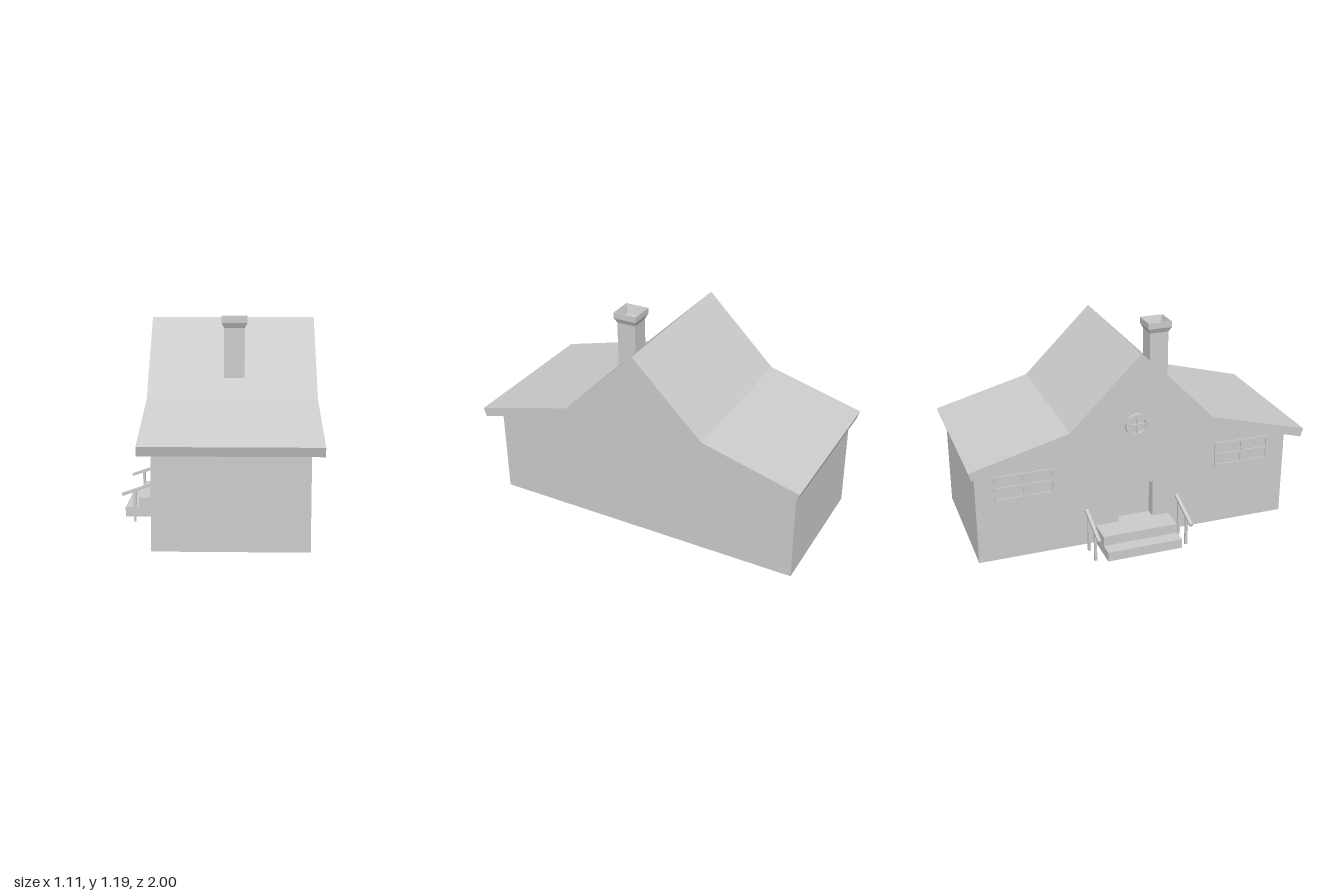
import * as THREE from 'three';

const material = new THREE.MeshStandardMaterial({ color: 0xcccccc, flatShading: true });
const WALL_X = -0.325; // entrance wall plane
const MID_Z = -0.025;  // ridge line

const toShape = (pts) => new THREE.Shape(pts.map(([z, y]) => new THREE.Vector2(z, y)));

export function createModel() {
  const model = new THREE.Group();

  const add = (name, geometry, parent = model) => {
    const mesh = new THREE.Mesh(geometry, material);
    mesh.name = name;
    parent.add(mesh);
    return mesh;
  };
  // Extrudes a (z, y) outline along x from x0 to x1
  const slab = (name, shape, x0, x1, parent) => {
    const g = new THREE.ExtrudeGeometry(shape, { depth: x1 - x0, bevelEnabled: false, curveSegments: 12 });
    g.rotateY(-Math.PI / 2).translate(x1, 0, 0);
    return add(name, g, parent);
  };
  // Box given by its limits
  const box = (name, x0, x1, y0, y1, z0, z1, parent) => {
    const g = new THREE.BoxGeometry(x1 - x0, y1 - y0, z1 - z0);
    g.translate((x0 + x1) / 2, (y0 + y1) / 2, (z0 + z1) / 2);
    return add(name, g, parent);
  };

  // Walls: solid body plus an outer layer with the door recess
  const wallOutline = [
    [0.91, 0.02], [0.91, 0.56], [0.405, 0.7], [-0.025, 1.12],
    [-0.405, 0.73], [-0.96, 0.585], [-0.96, 0.02],
  ];
  slab('houseBody', toShape(wallOutline), -0.265, 0.49);
  const entrance = toShape(wallOutline);
  entrance.holes.push(new THREE.Path([[-0.135, 0.13], [0.075, 0.13], [0.075, 0.355], [-0.135, 0.355]]
    .map(([z, y]) => new THREE.Vector2(z, y))));
  slab('entranceWall', entrance, WALL_X, -0.265);

  // Roof: steep gable with shallow skirts
  slab('roof', toShape([
    [1, 0.58], [0.41, 0.74], [-0.025, 1.17], [-0.435, 0.765], [-1, 0.615],
    [-0.985, 0.567], [-0.4, 0.72], [-0.025, 1.105], [0.4, 0.69], [0.985, 0.53],
  ]), -0.39, 0.553);

  // Chimney: square profile with a flared, hollow cap
  const chimney = new THREE.LatheGeometry([
    [0.0575, 0.75], [0.0575, 1.125], [0.0725, 1.155], [0.0725, 1.19], [0.068, 1.19], [0.052, 1.14], [0, 1.14],
  ].map(([r, y]) => new THREE.Vector2(r * Math.SQRT2, y)), 4, Math.PI / 4);
  add('chimney', chimney).position.set(0.0925, 0, 0.245);

  // Four-pane windows, mirrored about the ridge
  for (const z of [MID_Z - 0.6575, MID_Z + 0.6575]) {
    const win = new THREE.Group();
    win.name = 'window';
    model.add(win);
    const [z0, z1, y0, y1, t] = [z - 0.1725, z + 0.1725, 0.385, 0.54, 0.016];
    const frame = toShape([[z0, y0], [z1, y0], [z1, y1], [z0, y1]]);
    const pw = (z1 - z0 - 3 * t) / 2, ph = (y1 - y0 - 3 * t) / 2;
    for (let i = 0; i < 2; i++) for (let j = 0; j < 2; j++) {
      const a = z0 + t + i * (pw + t), b = y0 + t + j * (ph + t);
      frame.holes.push(new THREE.Path([[a, b], [a, b + ph], [a + pw, b + ph], [a + pw, b]]
        .map(([u, v]) => new THREE.Vector2(u, v))));
    }
    slab('windowFrame', frame, WALL_X - 0.008, WALL_X + 0.005, win);
  }

  // Round gable window with a cross bar
  const round = new THREE.Group();
  round.name = 'roundWindow';
  round.position.set(0, 0.73, MID_Z);
  model.add(round);
  const ring = new THREE.Shape().absarc(0, 0, 0.07, 0, Math.PI * 2);
  ring.holes.push(new THREE.Path().absarc(0, 0, 0.048, 0, Math.PI * 2, true));
  slab('roundFrame', ring, WALL_X - 0.02, WALL_X + 0.005, round);
  box('verticalBar', WALL_X - 0.012, WALL_X, -0.05, 0.05, -0.006, 0.006, round);
  box('horizontalBar', WALL_X - 0.012, WALL_X, -0.006, 0.006, -0.05, 0.05, round);

  // Entrance steps
  box('upperStep', -0.465, WALL_X, 0.015, 0.13, -0.272, 0.175);
  box('lowerStep', -0.543, -0.465, 0.015, 0.072, -0.272, 0.175);

  // Sloped handrails on posts
  for (const z of [-0.327, 0.225]) {
    const railing = new THREE.Group();
    railing.name = 'railing';
    railing.position.z = z;
    model.add(railing);
    for (const [x, top] of [[-0.482, 0.178], [-0.366, 0.217]]) {
      box('post', x - 0.0075, x + 0.0075, 0, top, -0.0075, 0.0075, railing);
    }
    const rail = add('handrail', new THREE.BoxGeometry(0.25, 0.017, 0.018), railing);
    rail.position.set(-0.437, 0.2, 0);
    rail.rotation.z = Math.atan2(0.08, 0.235);
  }
  return model;
}
